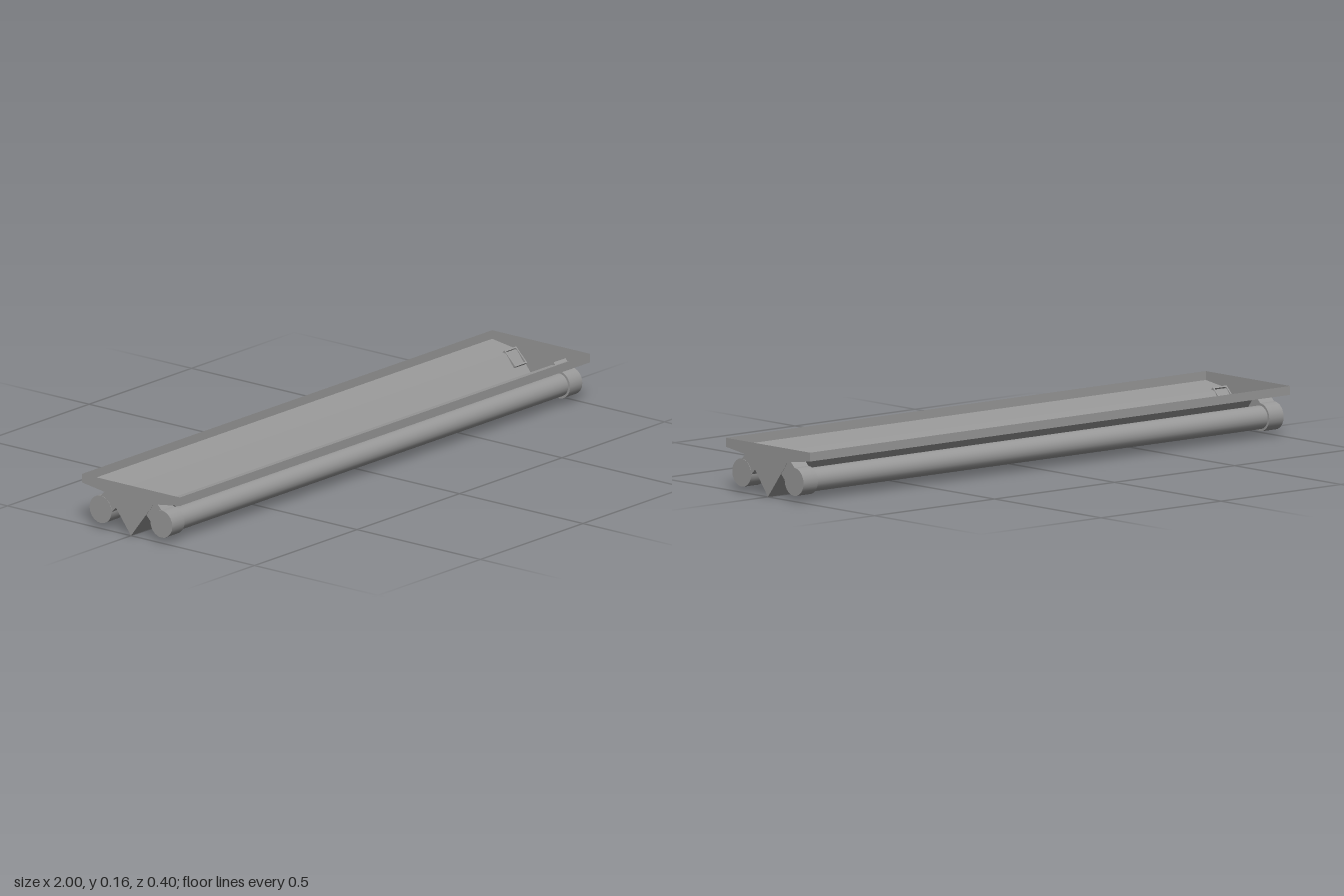
import * as THREE from 'three';

const metal = new THREE.MeshStandardMaterial({ color: 0x999999, side: THREE.DoubleSide });
metal.name = 'grey metal';

// Half-profile of the open tray as [z, y], from rim down to the keel
const HALF = [[0.198, 0.163], [0.198, 0.135], [0.092, 0.12], [0, 0]];
const PROFILE = [...HALF, ...HALF.slice(0, -1).reverse().map(([z, y]) => [-z, y])];
const TUBE_Y = 0.062, TUBE_Z = 0.123, CAP_R = 0.0445, CAP_LENGTH = 0.06;

function part(name, geometry, parent) {
  const mesh = new THREE.Mesh(geometry, metal);
  mesh.name = name;
  parent.add(mesh);
  return mesh;
}

// Folded sheet running the full length, one flat quad per profile segment
function foldedSheet() {
  const positions = [];
  for (let i = 0; i < PROFILE.length - 1; i++) {
    const [z0, y0] = PROFILE[i], [z1, y1] = PROFILE[i + 1];
    positions.push(-1, y0, z0, -1, y1, z1, 1, y1, z1);
    positions.push(-1, y0, z0, 1, y1, z1, 1, y0, z0);
  }
  const geometry = new THREE.BufferGeometry();
  geometry.setAttribute('position', new THREE.Float32BufferAttribute(positions, 3));
  geometry.computeVertexNormals();
  return geometry;
}

function rectangle(path, w, h) {
  path.moveTo(-w, -h);
  path.lineTo(w, -h);
  path.lineTo(w, h);
  path.lineTo(-w, h);
  path.closePath();
  return path;
}

// Hollow neck joining a lamp holder to the tray
function neckGeometry() {
  const shape = rectangle(new THREE.Shape(), CAP_LENGTH / 2 - 0.001, 0.0315);
  shape.holes.push(rectangle(new THREE.Path(), CAP_LENGTH / 2 - 0.006, 0.0265));
  const geometry = new THREE.ExtrudeGeometry(shape, { depth: 0.0345, bevelEnabled: false });
  geometry.translate(0, 0, 0.03);
  return geometry;
}

// One lamp with its two holders, on the front side
function createLamp(name) {
  const lamp = new THREE.Group();
  lamp.name = name;
  const tube = part('lampTube', new THREE.CylinderGeometry(0.037, 0.037, 1.9, 24), lamp);
  tube.position.set(0, TUBE_Y, TUBE_Z);
  tube.rotation.z = Math.PI / 2;
  for (const side of [-1, 1]) {
    const x = side * (1 - CAP_LENGTH / 2);
    const holder = part('lampHolder', new THREE.CylinderGeometry(CAP_R, CAP_R, CAP_LENGTH, 20), lamp);
    holder.position.set(x, TUBE_Y, TUBE_Z);
    holder.rotation.z = Math.PI / 2;
    const neck = part('holderNeck', neckGeometry(), lamp);
    neck.position.set(x, TUBE_Y, TUBE_Z);
    neck.rotation.x = -Math.PI * 0.75;
  }
  return lamp;
}

export function createModel() {
  const model = new THREE.Group();
  model.name = 'twinTubeLight';
  part('reflectorTray', foldedSheet(), model);

  // End plates closing the tray
  const plate = new THREE.Shape(PROFILE.map(([z, y]) => new THREE.Vector2(z, y)));
  for (const side of [-1, 1]) {
    const end = part('endPlate', new THREE.ShapeGeometry(plate), model);
    end.rotation.y = side * Math.PI / 2;
    end.position.x = side;
  }

  const front = createLamp('frontLamp');
  const back = createLamp('backLamp');
  back.rotation.y = Math.PI;
  model.add(front, back);
  return model;
}
